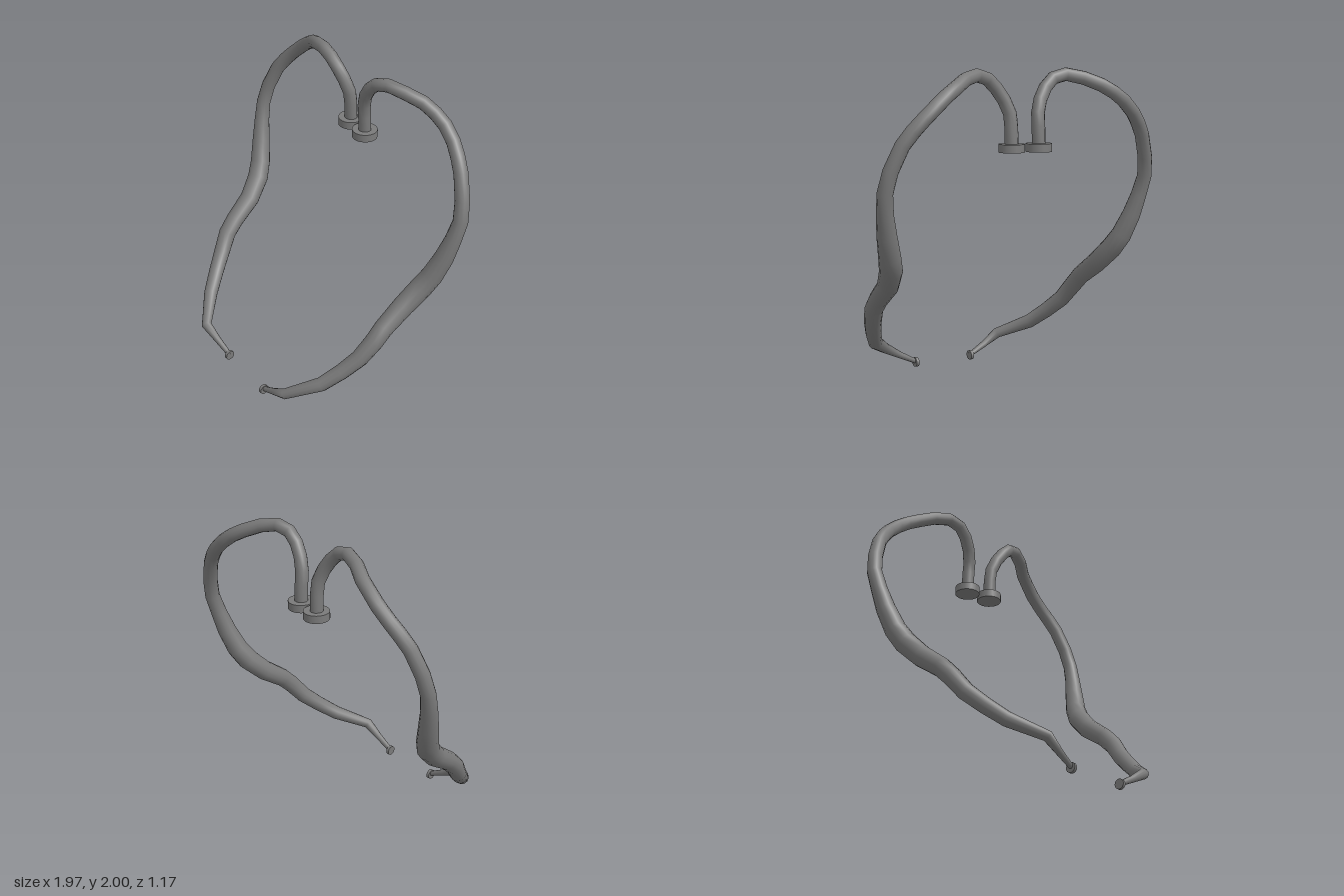
import * as THREE from 'three';

const SIDES = 12;
// Centreline of one arm from upper collar to lower tip: x, y, z, radius
const PATH = [
  [0.085, 1.53, -0.405, 0.041], [0.085, 1.65, -0.4, 0.041], [0.088, 1.73, -0.39, 0.041],
  [0.118, 1.81, -0.372, 0.041], [0.165, 1.88, -0.358, 0.041], [0.225, 1.935, -0.355, 0.041],
  [0.31, 1.958, -0.37, 0.041], [0.415, 1.935, -0.41, 0.042], [0.51, 1.893, -0.465, 0.043],
  [0.59, 1.847, -0.488, 0.043], [0.66, 1.795, -0.5, 0.044], [0.74, 1.722, -0.492, 0.044],
  [0.8, 1.655, -0.472, 0.045], [0.857, 1.575, -0.447, 0.045], [0.915, 1.43, -0.412, 0.046],
  [0.937, 1.305, -0.385, 0.047], [0.92, 1.18, -0.352, 0.051], [0.89, 1.05, -0.318, 0.06],
  [0.847, 0.915, -0.272, 0.067], [0.81, 0.825, -0.218, 0.07], [0.772, 0.715, -0.11, 0.066],
  [0.757, 0.61, 0.035, 0.06], [0.75, 0.535, 0.11, 0.058], [0.715, 0.43, 0.19, 0.054],
  [0.66, 0.34, 0.285, 0.05], [0.59, 0.25, 0.39, 0.046], [0.43, 0.156, 0.552, 0.034],
  [0.32, 0.095, 0.546, 0.022], [0.2, 0.036, 0.54, 0.015],
];

// Tube of varying radius with smooth normals, swept along the path
function sweptTube(path) {
  const pts = path.map(p => new THREE.Vector3(p[0], p[1], p[2]));
  const pos = [], idx = [];
  const normal = new THREE.Vector3(0, 0, 1);
  pts.forEach((p, i) => {
    const before = pts[Math.max(i - 1, 0)], after = pts[Math.min(i + 1, pts.length - 1)];
    const d1 = p.clone().sub(before).normalize(), d2 = after.clone().sub(p).normalize();
    const t = d1.add(d2).normalize();
    normal.addScaledVector(t, -normal.dot(t)).normalize();
    const side = t.clone().cross(normal);
    for (let j = 0; j < SIDES; j++) {
      const a = j / SIDES * Math.PI * 2;
      const v = p.clone().addScaledVector(normal, Math.cos(a) * path[i][3])
        .addScaledVector(side, Math.sin(a) * path[i][3]);
      pos.push(v.x, v.y, v.z);
      if (i < pts.length - 1) {
        const k = (j + 1) % SIDES, r = i * SIDES, n = r + SIDES;
        idx.push(r + j, r + k, n + j, r + k, n + k, n + j);
      }
    }
  });
  const g = new THREE.BufferGeometry();
  g.setAttribute('position', new THREE.Float32BufferAttribute(pos, 3));
  g.setIndex(idx);
  g.computeVertexNormals();
  return g;
}

export function createModel() {
  const model = new THREE.Group();
  model.name = 'curvedArms';
  const mat = new THREE.MeshStandardMaterial({ color: 0x7a7a7a });

  for (const [label, s, dz] of [['left', 1, 0], ['right', -1, -0.04]]) {
    const arm = new THREE.Group();
    arm.name = label + 'Arm';
    arm.position.z = dz;

    const tube = new THREE.Mesh(sweptTube(PATH.map(([x, y, z, r]) => [s * x, y, z, r])), mat);
    tube.name = label + 'Tube';

    // Flat collar under the upper end
    const collar = new THREE.Mesh(new THREE.CylinderGeometry(0.08, 0.08, 0.05, 24), mat);
    collar.name = label + 'Collar';
    collar.position.set(s * 0.085, 1.525, -0.405);

    // Small button on the lower tip, facing the middle
    const tip = new THREE.Mesh(new THREE.CylinderGeometry(0.032, 0.032, 0.02, 16), mat);
    tip.name = label + 'Tip';
    tip.rotation.z = Math.PI / 2;
    tip.position.set(s * 0.204, 0.034, 0.54);

    arm.add(tube, collar, tip);
    model.add(arm);
  }
  return model;
}
